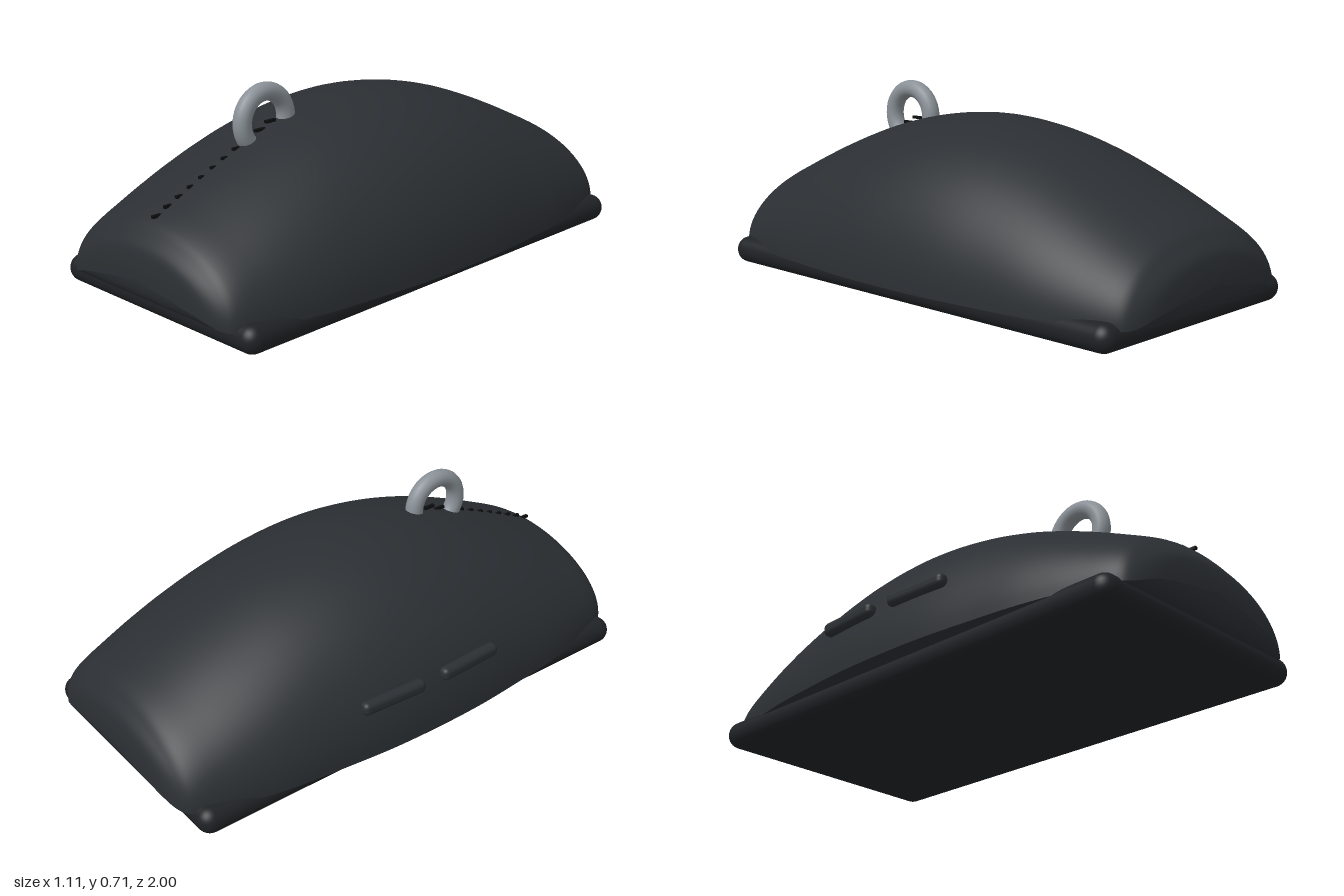
import * as THREE from 'three';
import { RoundedBoxGeometry } from 'three/addons/geometries/RoundedBoxGeometry.js';

const mat = (color, extra = {}) => new THREE.MeshStandardMaterial({ color, ...extra });

// Half profile of the shell from the middle to one end: [half width, top height, z]
const HALF = [
  [0.555, 0.625, 0], [0.55, 0.608, 0.2], [0.532, 0.563, 0.4], [0.508, 0.49, 0.6],
  [0.464, 0.4, 0.8], [0.425, 0.338, 0.92], [0.395, 0.302, 0.955], [0.33, 0.268, 0.982],
  [0.2, 0.222, 0.995], [0, 0.165, 1],
];

// Sections sampled from back to front
function shellSections() {
  const back = HALF.slice(1).reverse().map(([w, t, z]) => [w, t, -z]);
  const pts = [...back, ...HALF].map((p) => new THREE.Vector3(...p));
  const curve = new THREE.CatmullRomCurve3(pts);
  return curve.getPoints(108).map((p) => {
    // the lower edge curls up at both ends
    const u = Math.min(1, Math.max(0, (Math.abs(p.z) - 0.95) / 0.05));
    const bottom = 0.075 + 0.09 * (1 - Math.sqrt(1 - u * u));
    return { w: Math.max(0, p.x), top: Math.max(bottom, p.y), bottom, z: p.z };
  });
}

// Join rows of points into a smooth surface
function loft(rows) {
  const n = rows[0].length / 3;
  const index = [];
  for (let i = 0; i < rows.length - 1; i++) {
    for (let j = 0; j < n - 1; j++) {
      const a = i * n + j, b = a + 1, c = a + n, d = c + 1;
      index.push(a, b, c, b, d, c);
    }
  }
  const g = new THREE.BufferGeometry();
  g.setAttribute('position', new THREE.Float32BufferAttribute(rows.flat(), 3));
  g.setIndex(index);
  g.computeVertexNormals();
  return g;
}

export function createModel() {
  const model = new THREE.Group();
  model.name = 'computerMouse';
  const dark = mat(0x2b2f33);
  const black = mat(0x0c0d0e);

  const add = (name, geometry, material, x = 0, y = 0, z = 0) => {
    const m = new THREE.Mesh(geometry, material);
    m.name = name;
    m.position.set(x, y, z);
    model.add(m);
    return m;
  };

  // Domed shell of half-elliptical sections, closed by a flat underside
  const sections = shellSections();
  add('shell', loft(sections.map(({ w, top, bottom, z }) => {
    const row = [];
    for (let j = 0; j <= 48; j++) {
      const a = (j / 48) * Math.PI;
      row.push(w * Math.cos(a), bottom + (top - bottom) * Math.sin(a), z);
    }
    return row;
  })), dark);
  add('shellUnderside', loft(sections.map(({ w, bottom, z }) => [-w, bottom, z, w, bottom, z])), dark);

  // Base plate
  add('base', new RoundedBoxGeometry(0.98, 0.1, 1.88, 5, 0.049), mat(0x1f2225), 0, 0.053, 0);

  // Scroll wheel ring standing in the centre line
  const wheel = add('scrollWheel', new THREE.TorusGeometry(0.1, 0.033, 16, 48), mat(0x8a9197), 0, 0.583, 0.428);
  wheel.rotation.y = Math.PI / 2;

  // Dashed seam between the two main buttons
  for (let i = 0; i < 11; i++) {
    add('seamDash', new THREE.BoxGeometry(0.012, 0.01, 0.045), black,
      0, 0.352 + i * 0.0222, 0.9 - i * 0.05);
  }

  // Two thumb buttons on the side
  for (const [z, turn] of [[-0.19, 0.05], [0.15, -0.05]]) {
    const button = add('thumbButton', new RoundedBoxGeometry(0.045, 0.05, 0.26, 4, 0.02), dark, -0.524, 0.275, z);
    button.rotation.y = -turn;
  }

  return model;
}
